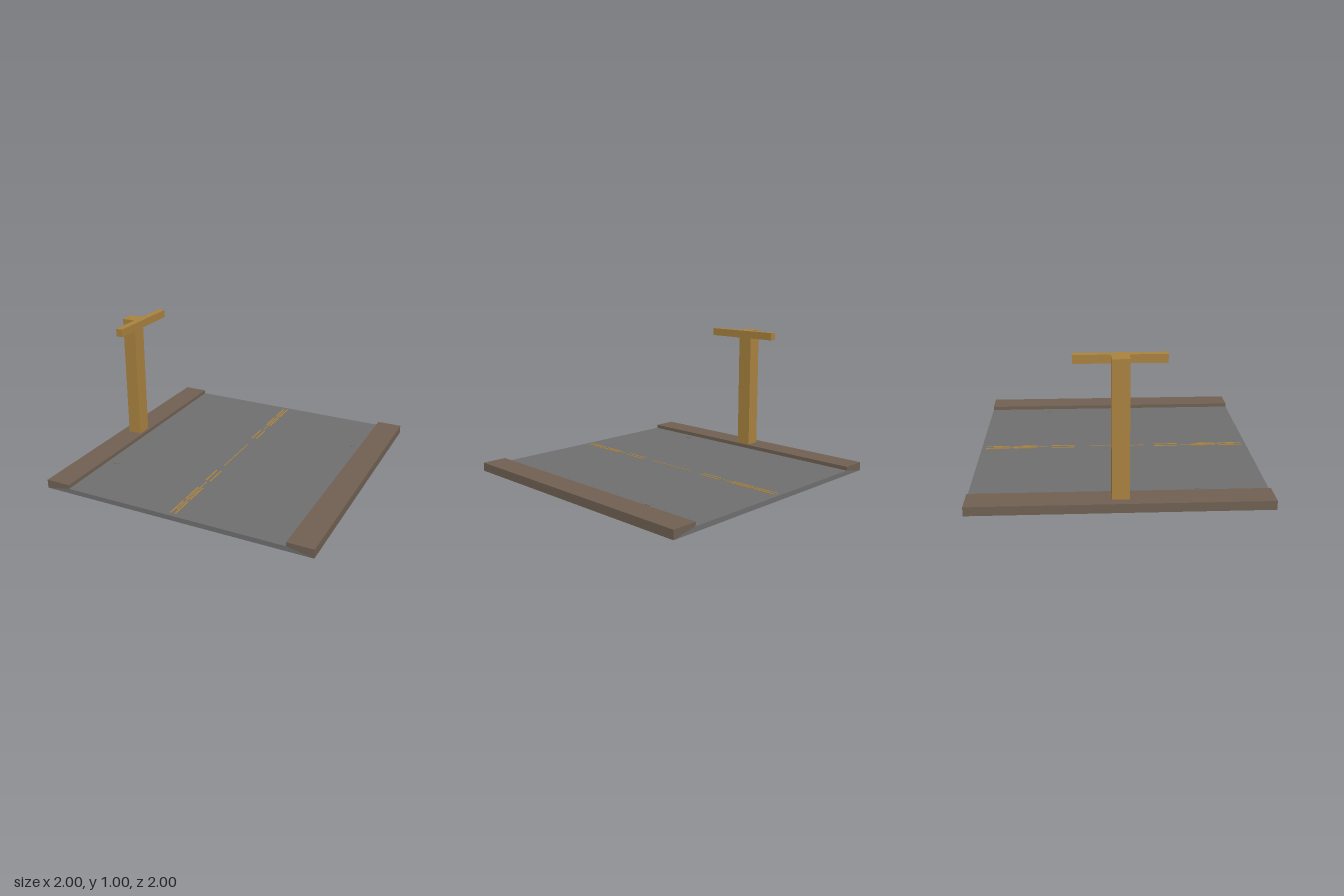
import * as THREE from 'three';

const mat = (name, color) => {
  const m = new THREE.MeshStandardMaterial({ color });
  m.name = name;
  return m;
};

export function createModel() {
  const model = new THREE.Group();
  const asphalt = mat('asphaltGrey', 0x6e6e6e);
  const kerbBrown = mat('kerbBrown', 0x6f6052);
  const ochre = mat('ochre', 0xa8823f);

  const add = (name, geometry, material) => {
    const mesh = new THREE.Mesh(geometry, material);
    mesh.name = name;
    model.add(mesh);
    return mesh;
  };

  // Box given by its extents on each axis
  const box = (name, [x0, x1], [y0, y1], [z0, z1], material) =>
    add(name, new THREE.BoxGeometry(x1 - x0, y1 - y0, z1 - z0), material)
      .position.set((x0 + x1) / 2, (y0 + y1) / 2, (z0 + z1) / 2);

  // Cross-section in x and y, extended along the full length of the road
  const strip = (name, points, material) => {
    const shape = new THREE.Shape(points.map(([x, y]) => new THREE.Vector2(x, y)));
    const geometry = new THREE.ExtrudeGeometry(shape, { depth: 2, bevelEnabled: false });
    add(name, geometry.translate(0, 0, -1), material);
  };

  // Road slab tapering to nothing under the pavements
  const edge = 0.815, top = 0.035, kerbTop = 0.063;
  strip('road', [[-1, 0], [1, 0], [edge, top], [-edge, top]], asphalt);

  // Raised pavements resting on the tapered sides
  strip('leftPavement', [[1, 0], [1, kerbTop], [edge, kerbTop], [edge, top]], kerbBrown);
  strip('rightPavement', [[-1, 0], [-edge, top], [-edge, kerbTop], [-1, kerbTop]], kerbBrown);

  // Lane markings: paired dashes and a thin centre line
  const paint = [top - 0.001, top + 0.002];
  for (const s of [-1, 1]) {
    for (const z of [0.39, 0.675, 0.88]) {
      for (const x of [-0.017, 0.017]) {
        box('pairedDash', [x - 0.006, x + 0.006], paint, [s * z - 0.088, s * z + 0.088], ochre);
      }
    }
  }
  for (const z of [-0.705, 0.015, 0.705]) {
    box('centreDash', [-0.004, 0.004], paint, [z - 0.205, z + 0.205], ochre);
  }

  // Drain covers on opposite sides of the road
  for (const s of [-1, 1]) {
    box('drainCover', [s * 0.74 - 0.018, s * 0.74 + 0.018], [top - 0.002, top + 0.004],
      [-s * 0.525 - 0.018, -s * 0.525 + 0.018], asphalt);
  }

  // Post with a crossbar on the road side
  box('post', [-0.937, -0.835], [0.04, 1], [-0.058, 0.057], ochre);
  box('crossbar', [-0.835, -0.785], [0.943, 1], [-0.298, 0.298], ochre);

  return model;
}
